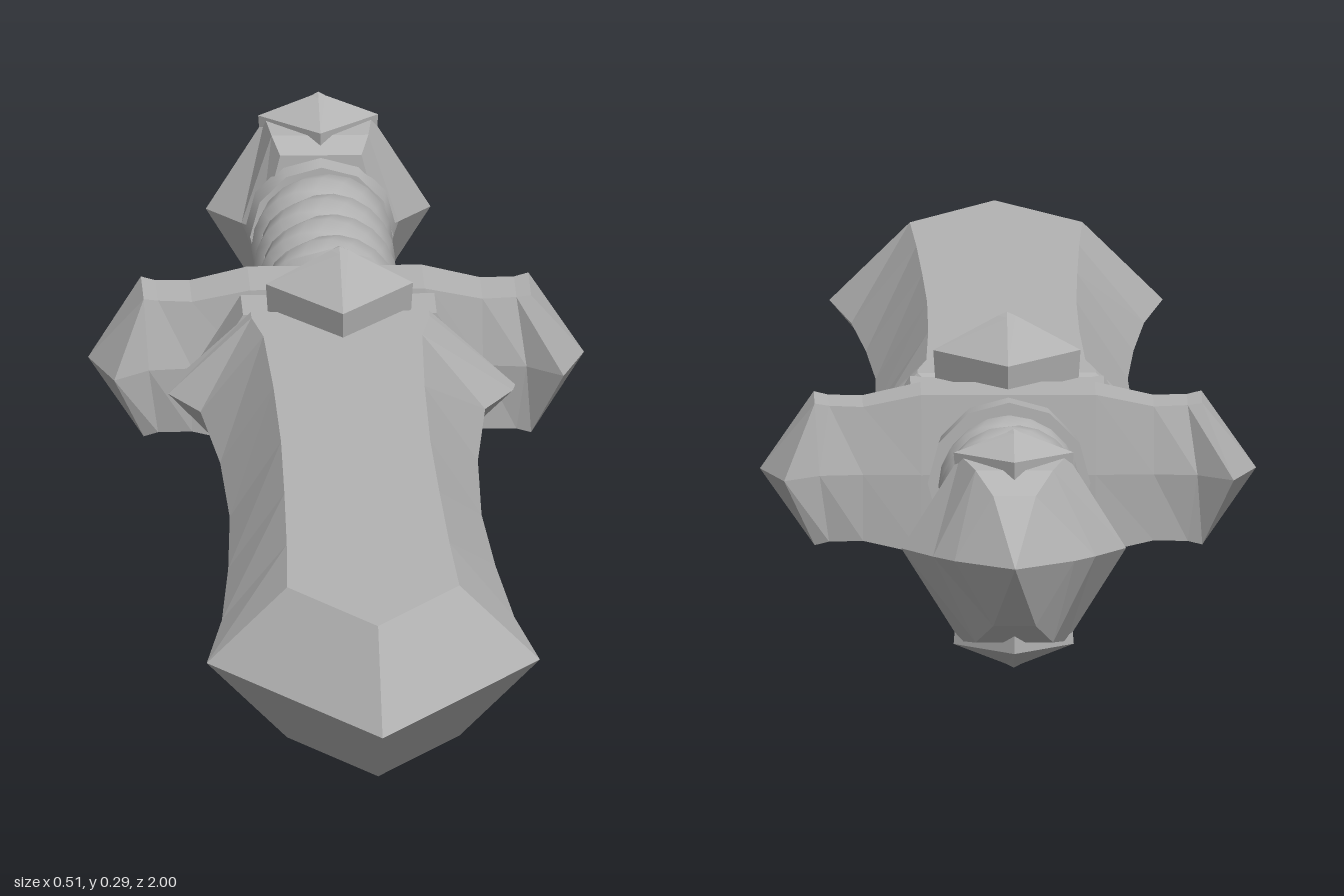
import * as THREE from 'three';

// Six-sided ring: side points at half-width w, flats of half-width f at height +-h.
// zw lets the side points sit at another depth than the flats.
const hex = (z, w, f, h, zw = z) => [
  [w, 0, zw], [f, h, z], [-f, h, z], [-w, 0, zw], [-f, -h, z], [f, -h, z],
];
const diamond = (z, a, b) => [[a, 0, z], [0, b, z], [-a, 0, z], [0, -b, z]];

// Faceted skin through rings ordered along +z, capped at both ends.
function loft(rings) {
  const pos = [];
  const n = rings[0].length;
  const tri = (a, b, c) => pos.push(...a, ...b, ...c);
  for (let i = 0; i < rings.length - 1; i++) {
    for (let j = 0; j < n; j++) {
      const k = (j + 1) % n;
      const a = rings[i][j], b = rings[i][k], c = rings[i + 1][k], d = rings[i + 1][j];
      tri(a, b, c);
      tri(a, c, d);
    }
  }
  const first = rings[0], last = rings[rings.length - 1];
  for (let j = 1; j < n - 1; j++) {
    tri(first[0], first[j + 1], first[j]);
    tri(last[0], last[j], last[j + 1]);
  }
  const g = new THREE.BufferGeometry();
  g.setAttribute('position', new THREE.Float32BufferAttribute(pos, 3));
  g.computeVertexNormals();
  return g;
}

export function createModel() {
  const steel = new THREE.MeshStandardMaterial({ color: 0xb3b3b3 });
  steel.name = 'steel grey';
  const sword = new THREE.Group();
  sword.name = 'sword';
  const add = (name, geometry, y = 0, z = 0) => {
    const m = new THREE.Mesh(geometry, steel);
    m.name = name;
    m.position.set(0, 0.147 + y, z);
    sword.add(m);
    return m;
  };

  // Blade: flared shoulders, narrow waist, broad leaf tip
  add('blade', loft([
    hex(-0.25, 0.16, 0.085, 0.076),
    hex(-0.235, 0.181, 0.092, 0.081),
    hex(-0.215, 0.178, 0.092, 0.081),
    hex(-0.15, 0.147, 0.082, 0.081),
    hex(0.03, 0.133, 0.078, 0.081),
    hex(0.22, 0.13, 0.077, 0.081),
    hex(0.4, 0.138, 0.08, 0.081),
    hex(0.58, 0.151, 0.084, 0.081),
    hex(0.73, 0.172, 0.089, 0.081),
    hex(0.87, 0.083, 0, 0.081),
    hex(1, 0, 0, 0),
  ]));
  add('bladeCollar', loft([hex(-0.34, 0.15, 0.1, 0.078), hex(-0.235, 0.148, 0.1, 0.078)]));

  // Crossguard: tapered bar with faceted, pointed ends
  const half = [
    hex(0.09, 0.047, 0.042, 0.083),
    hex(0.15, 0.044, 0.038, 0.07),
    hex(0.185, 0.05, 0.036, 0.071, 0.195),
    hex(0.2, 0.084, 0.04, 0.074, 0.232),
    hex(0.256, 0, 0, 0),
  ];
  const mirrored = half.map((r) => r.map(([x, y, z]) => [x, y, -z])).reverse();
  add('crossguard', loft([...mirrored, ...half]).rotateY(Math.PI / 2), 0, -0.347);

  // Grip: core wrapped with slanted bulging bands
  add('gripCore', new THREE.CylinderGeometry(0.061, 0.061, 0.45, 20).rotateX(Math.PI / 2), 0, -0.58);
  const bandProfile = [[0.056, -0.041], [0.066, -0.034], [0.071, 0], [0.067, 0.034], [0.056, 0.041]]
    .map(([r, y]) => new THREE.Vector2(r, y));
  for (let i = 0; i < 5; i++) {
    const band = add('gripBand', new THREE.LatheGeometry(bandProfile, 20).rotateX(Math.PI / 2), 0, -0.735 + i * 0.072);
    band.rotation.y = -0.3;
  }
  add('gripCollar', new THREE.CylinderGeometry(0.08, 0.084, 0.06, 12).rotateX(Math.PI / 2), 0, -0.415);
  add('pommelCollar', new THREE.CylinderGeometry(0.074, 0.078, 0.03, 12).rotateX(Math.PI / 2), 0, -0.776);

  // Pommel: faceted knob ending in a point
  add('pommel', loft([
    hex(-1, 0, 0, 0),
    hex(-0.945, 0.062, 0.022, 0.068),
    hex(-0.915, 0.084, 0.04, 0.09),
    hex(-0.862, 0.116, 0.055, 0.097),
    hex(-0.81, 0.081, 0.05, 0.094),
    hex(-0.785, 0.062, 0.042, 0.08),
  ]));

  // Diamond studs above and below the guard and the pommel
  const stud = (name, z, a, b, base, wall, top) => {
    for (const side of [1, -1]) {
      const g = loft([
        diamond(base, a * 0.95, b * 0.95),
        diamond(wall, a, b),
        diamond(top - 0.004, a * 0.12, b * 0.14),
        diamond(top, 0, 0),
      ]).rotateX(-Math.PI / 2);
      if (side < 0) g.rotateZ(Math.PI);
      add(name, g, 0, z);
    }
  };
  stud('guardStud', -0.248, 0.076, 0.108, 0.05, 0.107, 0.147);
  stud('pommelStud', -0.862, 0.062, 0.066, 0.06, 0.1, 0.125);

  return sword;
}
